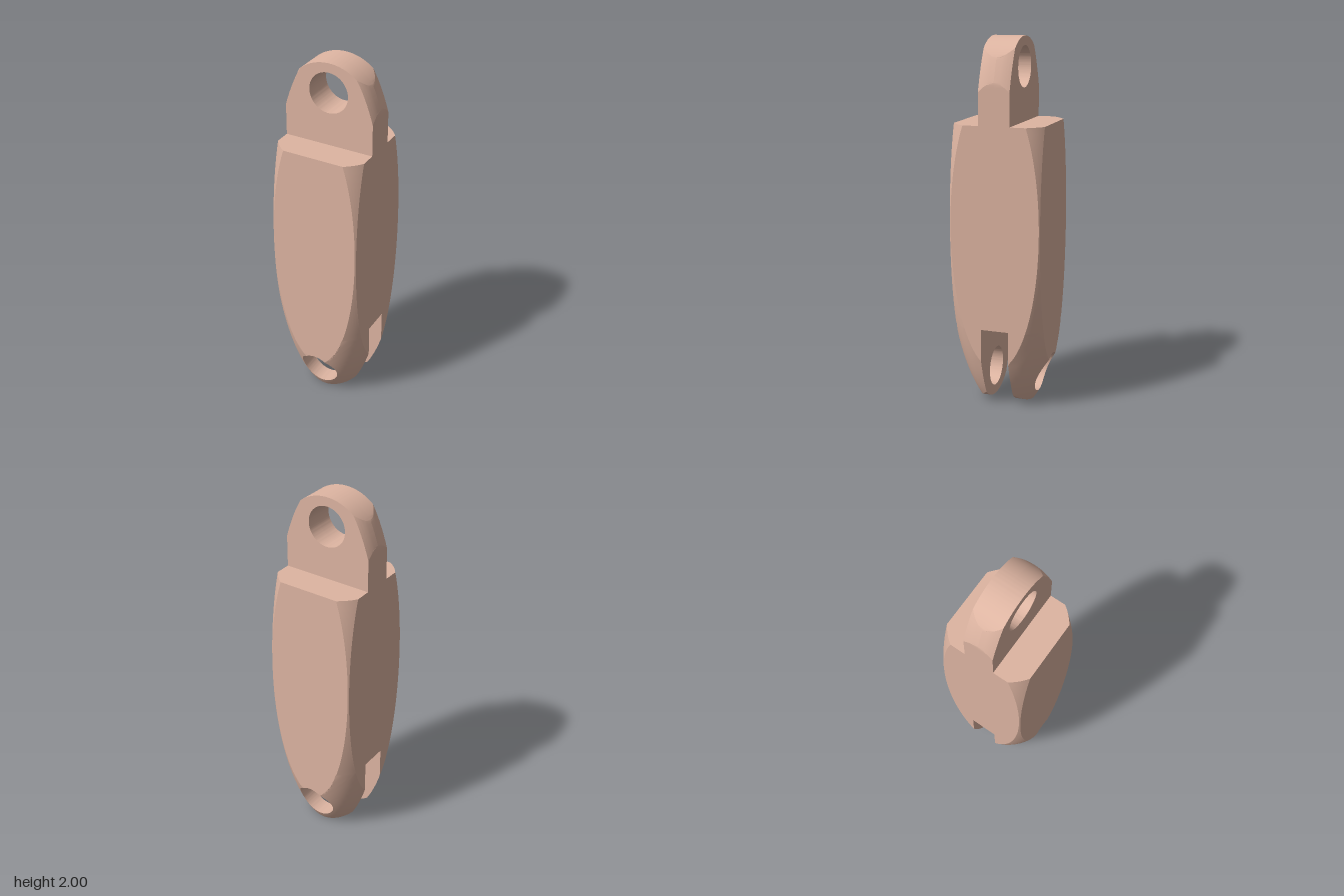
import * as THREE from 'three';
import { mergeVertices, toCreasedNormals } from 'three/addons/utils/BufferGeometryUtils.js';

// The link is an ellipsoid of revolution trimmed by a square bar.
const HALF = 0.25, RAD = 0.35, TALL = 1.1, MID = 1;
const K = (RAD / TALL) ** 2;
const HOLE_Y = 0.16, HOLE_R = 0.11, CUT = 0.45;
const radiusAt = y => Math.sqrt(RAD * RAD - K * (y - MID) ** 2);

// Joins neighbouring profiles (rows of points) around a closed circuit.
function sweep(rows, closedProfile) {
  const pos = [];
  const tri = (a, b, c) => {
    const area = b.clone().sub(a).cross(c.clone().sub(a)).length();
    if (area > 1e-9) pos.push(...a, ...b, ...c);
  };
  rows.forEach((row, j) => {
    const next = rows[(j + 1) % rows.length];
    const count = row.length - (closedProfile ? 0 : 1);
    for (let i = 0; i < count; i++) {
      const k = (i + 1) % row.length;
      tri(row[i], row[k], next[k]);
      tri(row[i], next[k], next[i]);
    }
  });
  const geo = new THREE.BufferGeometry();
  geo.setAttribute('position', new THREE.Float32BufferAttribute(pos, 3));
  return toCreasedNormals(mergeVertices(geo, 1e-5), 0.25);
}

// Square bar with barrel-rounded corners.
function bodyGeometry() {
  const rows = [], arc = 10, steps = 32;
  for (let corner = 0; corner < 4; corner++) {
    for (let s = 0; s <= arc; s++) {
      const row = [new THREE.Vector3(0, CUT, 0)];
      for (let i = 0; i <= steps; i++) {
        const y = CUT + (2 - 2 * CUT) * i / steps, r = radiusAt(y);
        const edge = Math.acos(HALF / r);
        const a = corner * Math.PI / 2 + edge + (Math.PI / 2 - 2 * edge) * s / arc;
        row.push(new THREE.Vector3(r * Math.cos(a), y, r * Math.sin(a)));
      }
      row.push(new THREE.Vector3(0, 2 - CUT, 0));
      rows.push(row);
    }
  }
  return sweep(rows, false);
}

// Pierced lug at the lower end, from depth z0 out to zMax, swept around its hole.
function lugGeometry(z0, zMax) {
  const corner = Math.atan2(CUT - HOLE_Y, HALF);
  const angles = [corner, Math.PI - corner];
  for (let i = 0; i < 144; i++) angles.push(i * Math.PI / 72);
  angles.sort((a, b) => a - b);

  const rows = angles.map(angle => {
    const dx = Math.cos(angle), dy = Math.sin(angle);
    // where the ray crosses the ellipsoid at depth z
    const crossings = z => {
      const A = dx * dx + K * dy * dy, B = K * (HOLE_Y - MID) * dy;
      const C = K * (HOLE_Y - MID) ** 2 + z * z - RAD * RAD;
      const s = Math.sqrt(Math.max(0, B * B - A * C));
      return [(-B - s) / A, (-B + s) / A];
    };
    // outline: bar sides, ellipsoid, straight cut and round end
    let end = Math.min(HALF / Math.max(Math.abs(dx), 1e-6), crossings(z0)[1]);
    if (dy > 1e-6) end = Math.min(end, (CUT - HOLE_Y) / dy);
    const b = (HOLE_Y - HALF) * dy;
    const round = -b + Math.sqrt(b * b - (HOLE_Y - HALF) ** 2 + HALF * HALF);
    if (HOLE_Y + round * dy < HALF) end = Math.min(end, round);

    const point = (t, z) => new THREE.Vector3(t * dx, HOLE_Y + t * dy, z);
    const skin = t => {
      const x = t * dx, r = radiusAt(HOLE_Y + t * dy);
      const depth = Math.sqrt(Math.max(0, r * r - x * x));
      return point(t, Math.max(z0, Math.min(zMax, depth)));
    };
    // columns follow the crease between flat and rounded skin
    const creases = crossings(zMax).map(t => Math.min(end, Math.max(HOLE_R, t)));
    const stops = [HOLE_R, ...creases, end];
    const row = [point(HOLE_R, z0), skin(HOLE_R)];
    for (let k = 0; k < 3; k++) {
      for (let i = 1; i <= 8; i++) {
        row.push(skin(stops[k] + (stops[k + 1] - stops[k]) * i / 8));
      }
    }
    row.push(point(end, z0));
    return row;
  });
  return sweep(rows, z0 > 0);
}

export function createModel() {
  const model = new THREE.Group();
  model.name = 'chainLink';
  const material = new THREE.MeshStandardMaterial({ color: 0xdeb5a2 });
  const add = (name, geometry, parent) => {
    const mesh = new THREE.Mesh(geometry, material);
    mesh.name = name;
    parent.add(mesh);
    return mesh;
  };

  add('body', bodyGeometry(), model);

  // Fork: two prongs either side of the slot
  const fork = new THREE.Group();
  fork.name = 'fork';
  const prong = lugGeometry(0.077, HALF);
  add('frontProng', prong, fork);
  add('backProng', prong, fork).rotation.y = Math.PI;
  model.add(fork);

  // Tongue: the same lug, thin and turned upside down
  const tongue = new THREE.Group();
  tongue.name = 'tongue';
  const half = lugGeometry(0, 0.085);
  add('frontTongue', half, tongue);
  add('backTongue', half, tongue).rotation.y = Math.PI;
  tongue.rotation.z = Math.PI;
  tongue.position.y = 2;
  model.add(tongue);

  return model;
}
